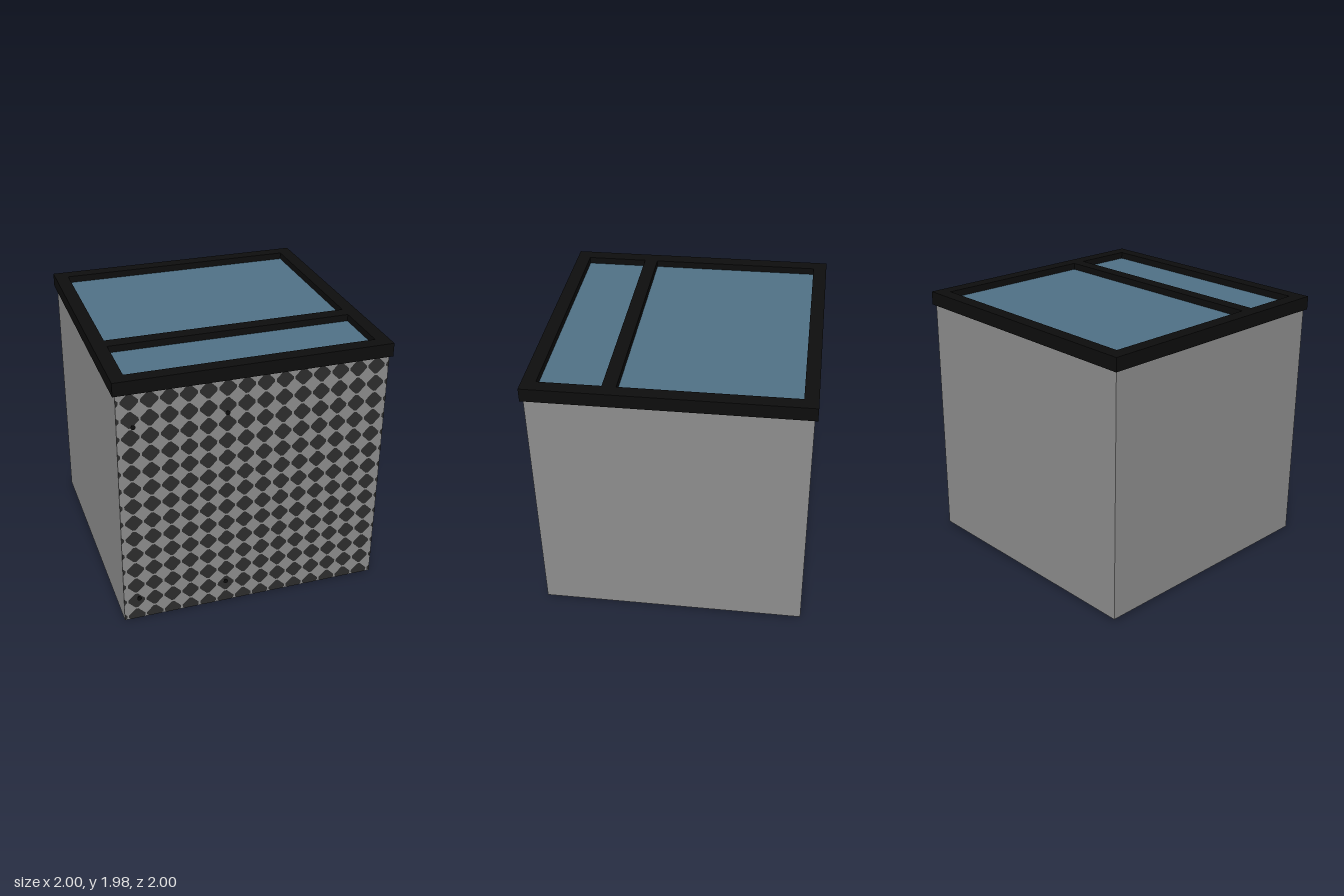
import * as THREE from 'three';

const paint = (name, color) => {
  const m = new THREE.MeshStandardMaterial({ color });
  m.name = name;
  return m;
};

export function createModel() {
  const grey = paint('body grey', 0x8c8c8c);
  const dark = paint('pattern dark grey', 0x2d2d2d);
  const black = paint('frame black', 0x0d0d0d);
  const blue = paint('glass blue', 0x4f7085);

  const model = new THREE.Group();
  model.name = 'cabinet';
  // The whole cabinet leans slightly forward
  const tilted = new THREE.Group();
  tilted.name = 'tiltedCabinet';
  tilted.rotation.x = 0.0125;
  tilted.position.set(0, 0.0123 + 0.005, -0.02);
  model.add(tilted);

  const add = (name, geometry, material, x = 0, y = 0, z = 0) => {
    const mesh = new THREE.Mesh(geometry, material);
    mesh.name = name;
    mesh.position.set(x, y, z);
    tilted.add(mesh);
    return mesh;
  };

  // Body
  const W = 0.98;
  add('body', new THREE.BoxGeometry(2 * W, 1.87, 2 * W), grey, 0, 0.935, 0);

  // Front pattern: blunt-tipped diamonds, clipped at the panel edges
  const pitch = 0.1364, h = 0.062, s = 0.072;
  const shapes = [];
  const addShape = (cx, cy, pts) =>
    shapes.push(new THREE.Shape(pts.map(([x, y]) => new THREE.Vector2(cx + x, cy + y))));
  for (let row = 0; row < 14; row++) {
    const cy = 0.025 + row * pitch;
    const b = Math.min(h, cy - 0.001); // distance to the lower cut
    for (let col = 0; col < 14; col++) {
      addShape((col - 6.5) * pitch, cy, [
        [h, h - s], [h, s - h], [s - h, h], [h - s, h],
        [-h, s - h], [-h, h - s], [b - s, -b], [s - b, -b],
      ]);
    }
    // Slivers of the columns cut off by the sides
    const cx = 7.5 * pitch, cut = cx - W, e = s - cut, tip = s - h;
    const low = Math.min(e, b);
    addShape(cx, cy, [[-h, -tip], [-cut, -low], [-cut, e], [-h, tip]]);
    addShape(-cx, cy, [[h, -tip], [h, tip], [cut, e], [cut, -low]]);
  }
  add('frontDiamonds', new THREE.ShapeGeometry(shapes), dark, 0, 0, W + 0.002);

  // Small pegs on the front, flaring outward
  const peg = new THREE.CylinderGeometry(0.018, 0.005, 0.024, 10).rotateX(Math.PI / 2);
  for (const x of [-0.87, -0.21])
    for (const y of [0.19, 1.615]) add('frontPeg', peg, black, x, y, W + 0.01);

  // Lid frame with two openings
  const rect = (Type, x0, y0, x1, y1) =>
    new Type([[x0, y0], [x1, y0], [x1, y1], [x0, y1]].map(p => new THREE.Vector2(...p)));
  const lid = rect(THREE.Shape, -1, -1, 1, 1);
  lid.holes.push(rect(THREE.Path, -0.9, -0.9, 0.9, -0.45));
  lid.holes.push(rect(THREE.Path, -0.9, -0.35, 0.9, 0.9));
  const lidGeometry = new THREE.ExtrudeGeometry(lid, { depth: 0.1, bevelEnabled: false });
  add('lidFrame', lidGeometry.rotateX(-Math.PI / 2), black, 0, 1.86, 0);

  // Recessed glass panes
  for (const [name, z0, z1] of [['rearPane', -0.9, 0.35], ['frontPane', 0.45, 0.9]])
    add(name, new THREE.BoxGeometry(1.8, 0.04, z1 - z0), blue, 0, 1.89, (z0 + z1) / 2);

  return model;
}
